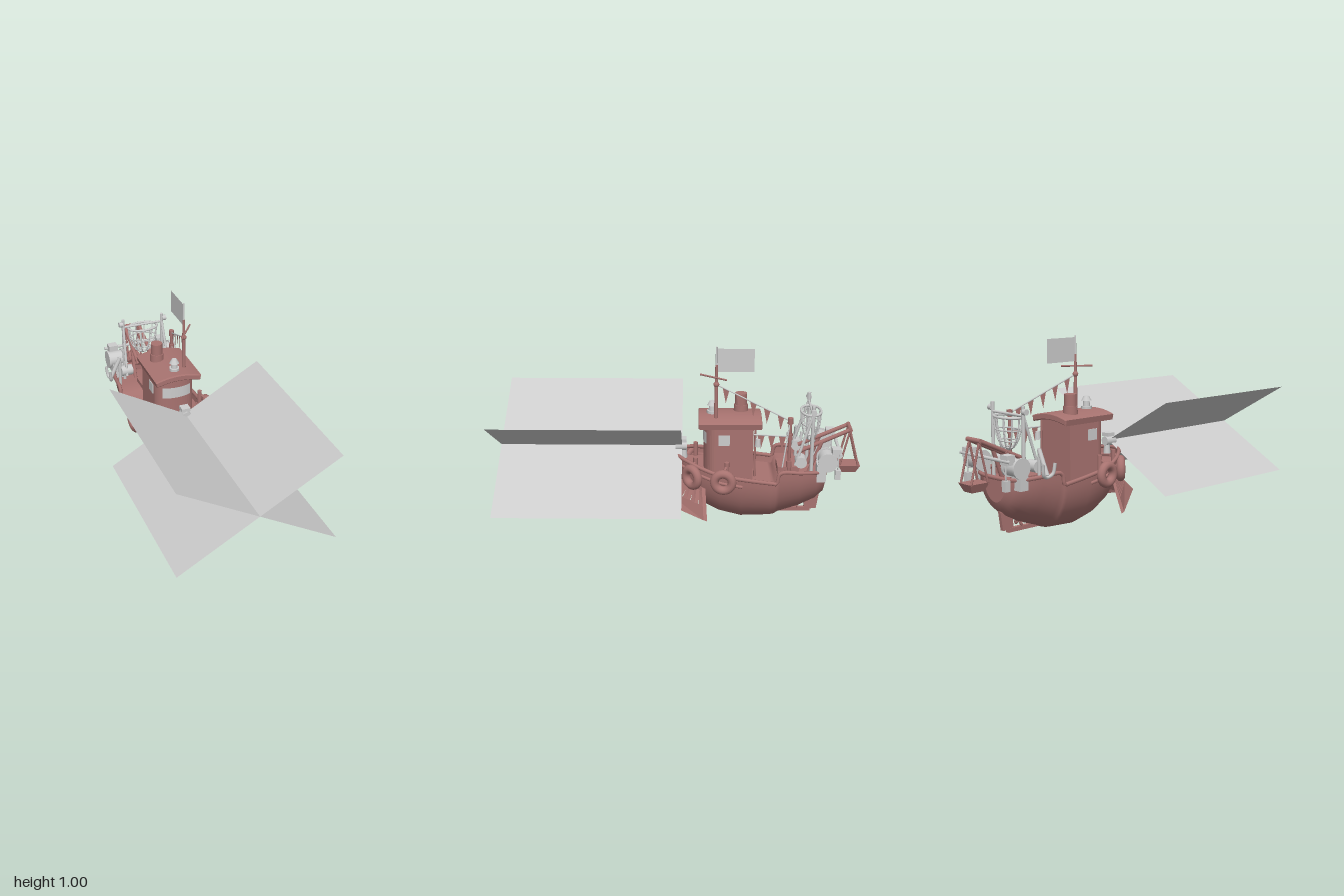
import * as THREE from 'three';

export function createModel() {
  const model = new THREE.Group();
  const mat = (name, color, side = THREE.DoubleSide) => {
    const m = new THREE.MeshStandardMaterial({ color, side });
    m.name = name;
    return m;
  };
  const red = mat('dusty red', 0xa87370), pale = mat('pale grey', 0xcccccc);
  const V = (x, y, z) => new THREE.Vector3(x, y, z);

  const add = (name, geo, m, x = 0, y = 0, z = 0) => {
    const mesh = new THREE.Mesh(geo, m);
    mesh.name = name;
    mesh.position.set(x, y, z);
    model.add(mesh);
    return mesh;
  };
  const box = (name, w, h, d, m, x, y, z) => add(name, new THREE.BoxGeometry(w, h, d), m, x, y, z);
  const cyl = (name, r1, r2, h, m, x, y, z, n = 16) => add(name, new THREE.CylinderGeometry(r1, r2, h, n), m, x, y, z);
  // Round bar between two points
  const bar = (name, a, b, r, m, n = 8) => {
    const mesh = cyl(name, r, r, a.distanceTo(b), m, 0, 0, 0, n);
    mesh.position.copy(a).lerp(b, 0.5);
    mesh.quaternion.setFromUnitVectors(V(0, 1, 0), b.clone().sub(a).normalize());
    return mesh;
  };
  const tube = (name, pts, r, m, closed = false) =>
    add(name, new THREE.TubeGeometry(new THREE.CatmullRomCurve3(pts, closed), pts.length * 5, r, 8, closed), m);
  // Skin over rows of equal length
  const loft = (rows, flat) => {
    const n = rows[0].length, idx = [];
    for (let i = 0; i < rows.length - 1; i++)
      for (let j = 0; j < n - 1; j++) {
        const a = i * n + j, b = a + n;
        idx.push(a, b, a + 1, b, b + 1, a + 1);
      }
    let g = new THREE.BufferGeometry().setFromPoints(rows.flat());
    g.setIndex(idx);
    if (flat) g = g.toNonIndexed();
    g.computeVertexNormals();
    return g;
  };

  // Hull stations: z, half width, keel height, sheer height
  const stations = [
    [0.02, 0.02, 0.27, 0.372], [0, 0.07, 0.2, 0.368], [-0.05, 0.12, 0.135, 0.358], [-0.12, 0.165, 0.08, 0.338],
    [-0.22, 0.195, 0.03, 0.31], [-0.34, 0.207, 0, 0.292], [-0.5, 0.21, 0.008, 0.272], [-0.525, 0.21, 0.015, 0.27],
    [-0.545, 0.209, 0.025, 0.33], [-0.66, 0.2, 0.065, 0.33], [-0.75, 0.178, 0.11, 0.325], [-0.795, 0.14, 0.15, 0.322],
    [-0.81, 0.09, 0.19, 0.32]];
  const section = ([z, w, yk, ys]) => Array.from({ length: 25 }, (_, i) => {
    const a = (i / 24 - 0.5) * Math.PI;
    return V(w * Math.sin(a), yk + (ys - yk) * (1 - Math.cos(a)), z);
  });
  const rows = stations.map(section);
  add('hull', loft(rows), red);
  for (const [name, row] of [['stemCap', rows[0]], ['transom', rows[rows.length - 1]]])
    add(name, loft([row, row.map(p => V(0, p.y, p.z))], true), red);

  // Deck sits below the sheer
  add('deck', loft(stations.map(([z, w, yk, ys]) => {
    const y = Math.min(ys - 0.045, 0.31), c = (ys - y) / (ys - yk), x = w * Math.sqrt(1 - c * c) * 0.99;
    return [V(x, y, z), V(-x, y, z)];
  })), red);

  // Gunwale and lower rubbing strake
  const sheer = s => stations.map(([z, w, , ys]) => V(s * w, ys, z));
  tube('gunwale', [...sheer(1), ...sheer(-1).reverse()], 0.011, red, true);
  for (const s of [1, -1])
    tube('rubbingStrake', stations.slice(0, 6).map(([z, w, yk, ys]) => {
      const c = 0.045 / (ys - yk);
      return V(s * w * Math.sqrt(1 - c * c), ys - 0.045, z);
    }), 0.009, red);

  // Slatted bow guard
  const guard = (s, t, back = 0) => {
    const k = Math.abs(s);
    return V(s * (0.245 - 0.08 * t), 0.103 - 0.037 * k + t * (0.142 + 0.017 * k) - back * 0.3,
      0.19 - 0.32 * k - t * (0.165 - 0.175 * k) - back);
  };
  const guardPanel = (name, s0, s1, t0, t1) => {
    const ring = t => [guard(s0, t), guard(s1, t), guard(s1, t, 0.02), guard(s0, t, 0.02), guard(s0, t)];
    const a = ring(t0), b = ring(t1);
    add(name, loft([a.map(() => guard((s0 + s1) / 2, t0, 0.01)), a, b, b.map(() => guard((s0 + s1) / 2, t1, 0.01))], true), red);
  };
  for (const s of [1, -1]) {
    guardPanel('guardSkirt', 0, s, 0, 0.42);
    guardPanel('guardTopRail', 0, s, 0.88, 1);
    for (let i = 0; i < 6; i++) guardPanel('guardSlat', s * i * 0.182, s * (i * 0.182 + 0.09), 0.42, 0.88);
  }

  // Wheelhouse with bowed front
  const plan = new THREE.Shape();
  plan.moveTo(0.115, 0.2);
  plan.lineTo(0.115, 0.4);
  plan.lineTo(-0.115, 0.4);
  plan.lineTo(-0.115, 0.2);
  plan.bezierCurveTo(-0.115, 0.107, 0.115, 0.107, 0.115, 0.2);
  const house = new THREE.ExtrudeGeometry(plan, { depth: 0.335, bevelEnabled: false, curveSegments: 20 });
  add('wheelhouse', house.rotateX(-Math.PI / 2), red, 0, 0.24, 0);

  // Windows
  const front = new THREE.CubicBezierCurve(new THREE.Vector2(-0.115, 0.2), new THREE.Vector2(-0.115, 0.107),
    new THREE.Vector2(0.115, 0.107), new THREE.Vector2(0.115, 0.2));
  const pane = y => Array.from({ length: 13 }, (_, i) => {
    const p = front.getPoint(0.24 + 0.52 * i / 12);
    return V(p.x * 1.02, y, -p.y + 0.004);
  });
  add('frontWindow', loft([pane(0.518), pane(0.452)]), pale);
  for (const s of [1, -1]) box('sideWindow', 0.006, 0.06, 0.062, pale, s * 0.116, 0.485, -0.24);

  // Arched roof
  const arch = new THREE.Shape();
  arch.moveTo(-0.125, 0.558);
  arch.quadraticCurveTo(0, 0.595, 0.125, 0.558);
  arch.lineTo(0.13, 0.58);
  arch.quadraticCurveTo(0, 0.623, -0.13, 0.58);
  const roof = new THREE.ExtrudeGeometry(arch, { depth: 0.33, bevelThickness: 0.008, bevelSize: 0.005, bevelSegments: 2, curveSegments: 16 });
  add('roof', roof, red, 0, 0, -0.438);

  // Funnel and roof lamp
  cyl('funnelBase', 0.038, 0.04, 0.045, red, -0.047, 0.618, -0.335, 20);
  cyl('funnel', 0.033, 0.033, 0.11, red, -0.047, 0.65, -0.335, 20);
  cyl('roofLampBase', 0.03, 0.03, 0.016, pale, 0, 0.613, -0.175, 8);
  cyl('roofLamp', 0.017, 0.02, 0.04, pale, 0, 0.635, -0.175, 8);
  cyl('roofLampCap', 0.014, 0.028, 0.025, pale, 0, 0.663, -0.175, 8);

  // Mast, crossbar and flag
  cyl('mast', 0.007, 0.012, 0.34, red, 0.065, 0.73, -0.195, 10);
  cyl('mastTop', 0.005, 0.006, 0.1, pale, 0.065, 0.95, -0.195, 8);
  add('mastKnob', new THREE.SphereGeometry(0.016, 12, 8), red, 0.065, 0.79, -0.195);
  bar('crossbar', V(0.022, 0.833, -0.108), V(0.122, 0.833, -0.248), 0.005, red);
  add('flag', new THREE.PlaneGeometry(0.2, 0.13).rotateY(Math.PI / 2), pale, 0.065, 0.925, -0.298);

  // Rear post with bunting lines
  const post = V(0.14, 0.61, -0.595);
  bar('rearPost', V(0.14, 0.26, -0.595), V(0.14, 0.62, -0.595), 0.009, red);
  for (const y of [0.61, 0.52, 0.36]) cyl('rearPostCollar', 0.015, 0.015, 0.035, red, 0.14, y, -0.595, 10);
  const bunting = (a, b, count) => {
    bar('buntingLine', a, b, 0.004, pale, 6);
    const d = b.clone().sub(a);
    for (let i = 0; i < count; i++) {
      const c = a.clone().addScaledVector(d, (i + 0.7) / (count + 0.4)), e = d.clone().setLength(0.02);
      const tip = c.clone().add(V(0, -0.08, 0));
      add('pennant', loft([[c.clone().sub(e), c.clone().add(e)], [tip, tip.clone()]], true), red);
    }
  };
  bunting(V(0.065, 0.79, -0.195), post, 5);
  bunting(V(0.115, 0.52, -0.4), V(0.14, 0.52, -0.595), 3);
  bar('stay', post, V(0.19, 0.36, -0.555), 0.004, pale, 6);
  bar('cabinPole', V(0.1, 0.27, -0.41), V(0.1, 0.56, -0.41), 0.006, red);
  cyl('lantern', 0.014, 0.018, 0.045, pale, 0.115, 0.475, -0.425, 8);

  // Bow searchlight and crossed light beams
  cyl('searchlightStand', 0.014, 0.02, 0.07, pale, 0, 0.375, -0.02, 8);
  cyl('searchlight', 0.03, 0.026, 0.065, pale, 0, 0.41, -0.005, 8).rotation.x = Math.PI / 2;
  box('searchlightHood', 0.05, 0.02, 0.05, pale, 0, 0.446, -0.01);
  for (const s of [1, -1])
    add('lightBeam', new THREE.PlaneGeometry(1, 1.01).rotateX(-Math.PI / 2).rotateZ(s * Math.PI / 6), pale, 0, 0.412, 0.495);

  for (const s of [1, -1]) {
    // Tyre fenders, bollards and lashings
    for (const [x, z, turn] of [[0.152, -0.065, 0.75], [0.222, -0.235, 1.45]]) {
      add('tyreFender', new THREE.TorusGeometry(0.048, 0.024, 12, 24), red, s * x, 0.283, z).rotation.y = s * turn;
      cyl('bollard', 0.013, 0.013, 0.08, red, s * (x - 0.035), 0.345, z - 0.02, 10);
      bar('fenderLashing', V(s * (x - 0.035), 0.365, z - 0.02), V(s * x, 0.33, z), 0.008, red);
    }
    // Stern gallows frame
    bar('gallowsPost', V(s * 0.122, 0.27, -0.72), V(s * 0.122, 0.685, -0.72), 0.01, pale);
    bar('gallowsBrace', V(s * 0.122, 0.64, -0.72), V(s * 0.135, 0.35, -0.63), 0.008, pale);
    cyl('gallowsPulley', 0.016, 0.016, 0.022, pale, s * 0.137, 0.655, -0.72, 12).rotation.z = Math.PI / 2;
    // Winch drums
    cyl('winchDrum', 0.046, 0.046, 0.09, pale, s * 0.155, 0.39, -0.8, 16).rotation.z = Math.PI / 2;
    for (const e of [-0.045, 0.045])
      cyl('winchFlange', 0.054, 0.054, 0.01, pale, s * 0.155 + e, 0.39, -0.8, 16).rotation.z = Math.PI / 2;
    box('winchStand', 0.07, 0.1, 0.05, pale, s * 0.15, 0.32, -0.77);
    box('winchHousing', 0.055, 0.05, 0.05, pale, s * 0.155, 0.435, -0.85);
    bar('hoistCable', V(s * 0.155, 0.42, -0.862), V(s * 0.155, 0.33, -0.862), 0.004, pale);
    box('hoistBlock', 0.03, 0.055, 0.03, pale, s * 0.155, 0.305, -0.862);
    cyl('deckReel', 0.032, 0.032, 0.07, pale, s * 0.13, 0.375, -0.66, 12).rotation.z = Math.PI / 2;
    // Boom arms and bucket hangers
    bar('boomArm', V(s * 0.05, 0.4, -0.66), V(s * 0.045, 0.525, -0.935), 0.012, red);
    bar('boomLeg', V(s * 0.055, 0.27, -0.71), V(s * 0.052, 0.455, -0.78), 0.011, red);
    for (const z of [-0.885, -0.99]) bar('bucketHanger', V(s * 0.04, 0.52, -0.935), V(s * 0.043, 0.305, z), 0.006, red);
  }
  bar('winchAxle', V(-0.2, 0.43, -0.87), V(0.2, 0.43, -0.87), 0.009, pale);
  bar('gallowsBeam', V(-0.122, 0.635, -0.72), V(0.122, 0.635, -0.72), 0.007, pale);
  bar('boomHead', V(-0.055, 0.525, -0.935), V(0.055, 0.525, -0.935), 0.012, red);
  const bucket = new THREE.CylinderGeometry(0.0707, 0.045, 0.045, 4).rotateY(Math.PI / 4).toNonIndexed();
  bucket.computeVertexNormals();
  add('bucket', bucket, red, 0, 0.29, -0.94).scale.set(1, 1, 1.2);
  box('deckHatch', 0.13, 0.05, 0.12, red, 0, 0.285, -0.6);

  // Cargo net hung from the gallows
  const netPoint = (a, t) => V(0.09 * Math.cos(a) * Math.cos(t), 0.62 - 0.17 * Math.sin(t), -0.72 + 0.055 * Math.sin(a) * Math.cos(t));
  for (const t of [0, 0.4, 0.8, 1.15])
    tube('netHoop', Array.from({ length: 12 }, (_, i) => netPoint(i * Math.PI / 6, t)), t ? 0.004 : 0.007, pale, true);
  for (let i = 0; i < 10; i++)
    tube('netCord', [0, 0.4, 0.8, 1.2, 1.5].map(t => netPoint(i * Math.PI / 5, t)), 0.004, pale);

  // Anchor hung on the starboard quarter
  bar('anchorShank', V(-0.17, 0.465, -0.66), V(-0.23, 0.34, -0.66), 0.012, pale);
  tube('anchorFluke', [V(-0.245, 0.4, -0.7), V(-0.238, 0.345, -0.69), V(-0.228, 0.33, -0.66), V(-0.238, 0.345, -0.63), V(-0.245, 0.4, -0.62)], 0.009, pale);
  bar('anchorDavit', V(-0.17, 0.27, -0.66), V(-0.17, 0.47, -0.66), 0.009, pale);

  // Rudder, skeg and propeller
  const blade = new THREE.Shape([[0.7, 0.03], [0.77, 0.035], [0.785, 0.135], [0.71, 0.15]].map(p => new THREE.Vector2(...p)));
  add('rudder', new THREE.ExtrudeGeometry(blade, { depth: 0.02, bevelEnabled: false }).rotateY(Math.PI / 2), red, -0.01, 0, 0);
  box('skeg', 0.024, 0.022, 0.27, red, 0, 0.03, -0.6);
  bar('propellerShaft', V(0, 0.08, -0.55), V(0, 0.08, -0.675), 0.011, red);
  for (let i = 0; i < 4; i++) {
    const a = i * Math.PI / 2 + Math.PI / 4;
    const p = add('propellerBlade', new THREE.SphereGeometry(0.02, 10, 6), red, 0.024 * Math.cos(a), 0.08 + 0.024 * Math.sin(a), -0.66);
    p.scale.set(1.1, 0.7, 0.25);
    p.rotation.z = a;
  }
  return model;
}
